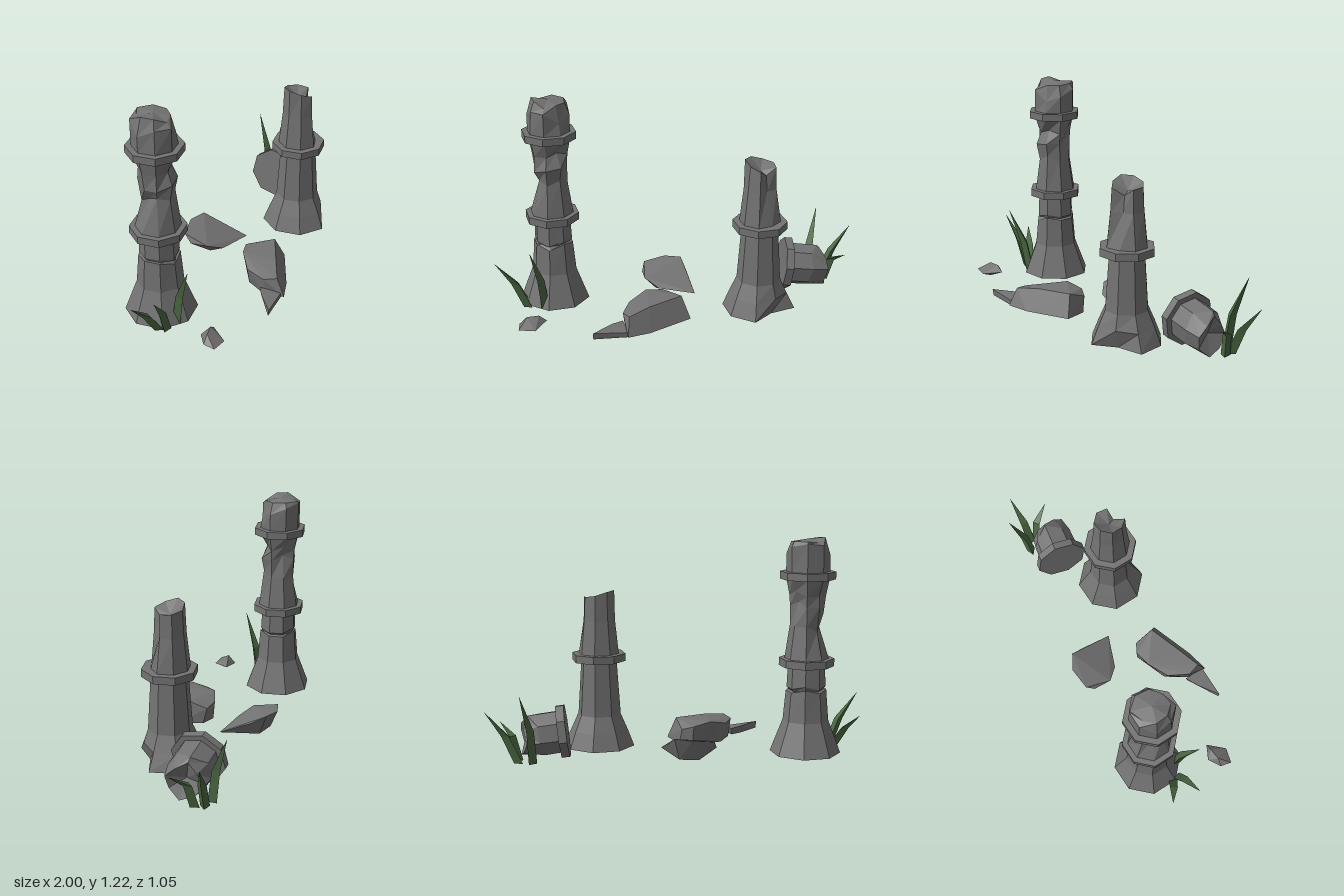
import * as THREE from 'three';
import { ConvexGeometry } from 'three/addons/geometries/ConvexGeometry.js';

const V = (x, y, z) => new THREE.Vector3(x, y, z);

// Skin a stack of equal-length loops and close both ends; capLift moves the top centre
function skin(loops, capLift = 0) {
  const pos = [];
  const tri = (a, b, c) => pos.push(...a.toArray(), ...b.toArray(), ...c.toArray());
  const mid = (l) => l.reduce((s, p) => s.add(p), V(0, 0, 0)).divideScalar(l.length);
  const n = loops[0].length, first = loops[0], last = loops[loops.length - 1];
  const low = mid(first), high = mid(last);
  high.y += capLift;
  for (let i = 0; i < n; i++) {
    const j = (i + 1) % n;
    for (let k = 0; k < loops.length - 1; k++) {
      const a = loops[k], b = loops[k + 1];
      tri(a[i], a[j], b[j]);
      tri(a[i], b[j], b[i]);
    }
    tri(low, first[j], first[i]);
    tri(high, last[i], last[j]);
  }
  const g = new THREE.BufferGeometry();
  g.setAttribute('position', new THREE.Float32BufferAttribute(pos, 3));
  g.computeVertexNormals();
  return g;
}

// Octagonal shaft from [height, radius, chips]; chips = { corner: [radius change, height change] }
// Corner 0 faces front, corner 2 the +x side
function shaft(rows, capLift) {
  return skin(rows.map(([y, r, chips = {}]) => Array.from({ length: 8 }, (_, i) => {
    const [dr, dy] = chips[i] || [0, 0], a = i * Math.PI / 4;
    return V(Math.sin(a) * (r + dr), y + dy, Math.cos(a) * (r + dr));
  })), capLift);
}

export function createModel() {
  const model = new THREE.Group();
  const stone = new THREE.MeshStandardMaterial({ color: 0x737373 });
  stone.name = 'stone';
  const leaf = new THREE.MeshStandardMaterial({ color: 0x4b6842 });
  leaf.name = 'leaf';

  const add = (parent, name, geometry, material = stone) => {
    const mesh = new THREE.Mesh(geometry, material);
    mesh.name = name;
    parent.add(mesh);
    return mesh;
  };
  const group = (name, x = 0, y = 0, z = 0) => {
    const g = new THREE.Group();
    g.name = name;
    g.position.set(x, y, z);
    model.add(g);
    return g;
  };
  const band = (y0, y1) => shaft([[y0, 0.153], [y1, 0.153]]);

  // Tall column: flared foot, cracked shaft, worn neck and broken cap
  const tall = group('tallColumn', -0.695, 0, 0.027);
  add(tall, 'foot', shaft([
    [0.015, 0.197], [0.2, 0.127],
    [0.365, 0.112, { 0: [0, -0.015], 1: [0, 0.015], 4: [0, 0.02], 6: [0, 0.012], 7: [0, 0.01] }],
    [0.375, 0.09],
  ]));
  add(tall, 'shaft', shaft([
    [0.365, 0.09],
    [0.385, 0.108, { 0: [0, -0.012], 1: [0, 0.012], 4: [0, 0.02], 6: [0, 0.01], 7: [0, 0.01] }],
    [0.51, 0.102],
  ]));
  add(tall, 'lowerBand', band(0.507, 0.55));
  add(tall, 'neck', shaft([
    [0.55, 0.122],
    [0.735, 0.095, { 6: [-0.045, 0], 7: [-0.02, 0.02], 5: [-0.015, -0.03], 1: [0, 0.03] }],
    [0.84, 0.096, { 0: [0.018, -0.01], 1: [0.015, 0], 3: [-0.03, 0.03], 6: [-0.008, -0.04], 7: [0.01, -0.03] }],
    [0.9, 0.1, { 0: [-0.015, 0], 1: [-0.03, 0.02], 3: [-0.012, 0.03], 5: [-0.01, 0] }],
    [0.99, 0.118],
  ]));
  add(tall, 'upperBand', band(0.99, 1.032));
  add(tall, 'brokenCap', shaft([
    [1.03, 0.12],
    [1.14, 0.12, { 0: [0, 0.02], 1: [-0.012, -0.04], 2: [0, -0.01], 3: [0.005, 0.03], 4: [0, 0.05], 5: [0, 0.04], 6: [0, -0.02], 7: [-0.01, 0.02] }],
    [1.195, 0.085, { 0: [0.005, -0.01], 2: [0.01, 0], 3: [0.02, 0.005], 4: [0.03, 0.005], 6: [0.005, 0.024], 7: [0, 0.02] }],
  ], 0.01));

  // Short column: chipped foot corner and a snapped, grooved top
  const short = group('shortColumn', 0.478, 0, 0.027);
  add(short, 'foot', shaft([
    [0.015, 0.2, { 1: [-0.085, 0], 2: [0.01, 0] }],
    [0.11, 0.163, { 1: [-0.015, 0.01] }],
    [0.2, 0.123], [0.51, 0.102],
  ]));
  add(short, 'band', band(0.507, 0.55));
  add(short, 'brokenTop', shaft([
    [0.55, 0.115, { 1: [-0.015, 0] }],
    [0.74, 0.095, { 1: [-0.045, 0], 2: [-0.01, 0] }],
    [0.87, 0.088, { 1: [-0.05, -0.04], 2: [-0.008, 0], 3: [0, 0.005], 4: [0, 0.015], 5: [0, 0.035], 6: [0.004, 0.04], 7: [-0.005, 0.02] }],
  ], -0.035));

  // Toppled column piece lying on its side
  const fallen = group('fallenPiece', 0.603, 0.162, -0.252);
  add(fallen, 'band', shaft([[0, 0.153], [0.045, 0.153]]));
  add(fallen, 'brokenShaft', shaft([
    [0.04, 0.122],
    [0.15, 0.12, { 0: [0, 0.02], 3: [0.005, -0.02], 6: [0, 0.05] }],
    [0.25, 0.1, { 0: [0, 0.01], 2: [0.01, 0.02], 4: [0.01, -0.03], 5: [-0.02, -0.02], 6: [0, -0.03], 7: [-0.02, 0] }],
  ], -0.04));
  fallen.quaternion.setFromUnitVectors(V(0, 1, 0), V(0.97, -0.12, -0.2).normalize());

  // Loose rocks as faceted hulls
  const rock = (name, points) => add(model, name, new ConvexGeometry(points.map((p) => V(...p))));
  rock('backRock', [
    [0, 0.145, -0.295], [-0.1, 0.14, -0.31], [-0.215, 0.125, -0.25], [-0.22, 0.08, -0.2],
    [-0.19, 0.09, -0.1], [-0.1, 0.05, -0.055], [0.11, 0.03, -0.055], [0.04, 0.1, -0.22],
    [-0.13, 0.015, -0.13], [0.02, 0.015, -0.12], [-0.02, 0.015, -0.24], [-0.13, 0.02, -0.25],
  ]);
  rock('frontRock', [
    [-0.245, 0.11, 0.37], [-0.23, 0.11, 0.24], [-0.15, 0.14, 0.14], [-0.06, 0.12, 0.085],
    [0.01, 0.1, 0.095], [0.06, 0.145, 0.2], [-0.2, 0.12, 0.43], [-0.1, 0.14, 0.34],
    [0.115, 0.02, 0.23], [0.03, 0.01, 0.11], [-0.09, 0.015, 0.41], [-0.2, 0.02, 0.48],
    [-0.23, 0.0, 0.37], [-0.2, 0.0, 0.23], [-0.05, 0.015, 0.09],
  ]);
  rock('shard', [
    [-0.385, 0.058, 0.525], [-0.385, 0.02, 0.52], [-0.3, 0.055, 0.4], [-0.25, 0.05, 0.35],
    [-0.2, 0.04, 0.46], [-0.25, 0.012, 0.36], [-0.2, 0.012, 0.46], [-0.3, 0.01, 0.42],
  ]);
  rock('pebble', [
    [-0.81, 0.045, 0.44], [-0.8, 0.04, 0.505], [-0.71, 0.035, 0.495], [-0.67, 0.045, 0.385],
    [-0.76, 0.045, 0.375], [-0.77, 0.083, 0.43], [-0.71, 0.08, 0.4], [-0.74, 0.01, 0.44], [-0.78, 0.015, 0.46],
  ]);

  // Grass blades: three-sided spikes bending out to a point
  const blade = (parent, base, knee, tip) => {
    const pts = [V(...base), V(...knee), V(...tip)];
    const turn = Math.atan2(tip[0] - base[0], tip[2] - base[2]);
    const loops = pts.map((p, k) => [0, 1, 2].map((i) => {
      const a = turn + i * Math.PI * 2 / 3, r = [0.029, 0.026, 0.001][k];
      return V(p.x + Math.sin(a) * r, p.y, p.z + Math.cos(a) * r);
    }));
    add(parent, 'blade', skin(loops), leaf);
  };
  const leftGrass = group('leftGrass');
  blade(leftGrass, [-0.73, 0.015, 0.18], [-0.74, 0.2, 0.215], [-0.77, 0.405, 0.3]);
  blade(leftGrass, [-0.82, 0.015, 0.18], [-0.88, 0.17, 0.21], [-0.98, 0.31, 0.262]);
  blade(leftGrass, [-0.84, 0.015, 0.15], [-0.91, 0.13, 0.135], [-0.999, 0.21, 0.11]);
  const rightGrass = group('rightGrass');
  blade(rightGrass, [0.76, 0.015, -0.425], [0.765, 0.2, -0.45], [0.793, 0.405, -0.528]);
  blade(rightGrass, [0.83, 0.015, -0.42], [0.895, 0.17, -0.445], [0.995, 0.31, -0.498]);
  blade(rightGrass, [0.85, 0.015, -0.375], [0.89, 0.15, -0.36], [0.97, 0.21, -0.295]);

  return model;
}
